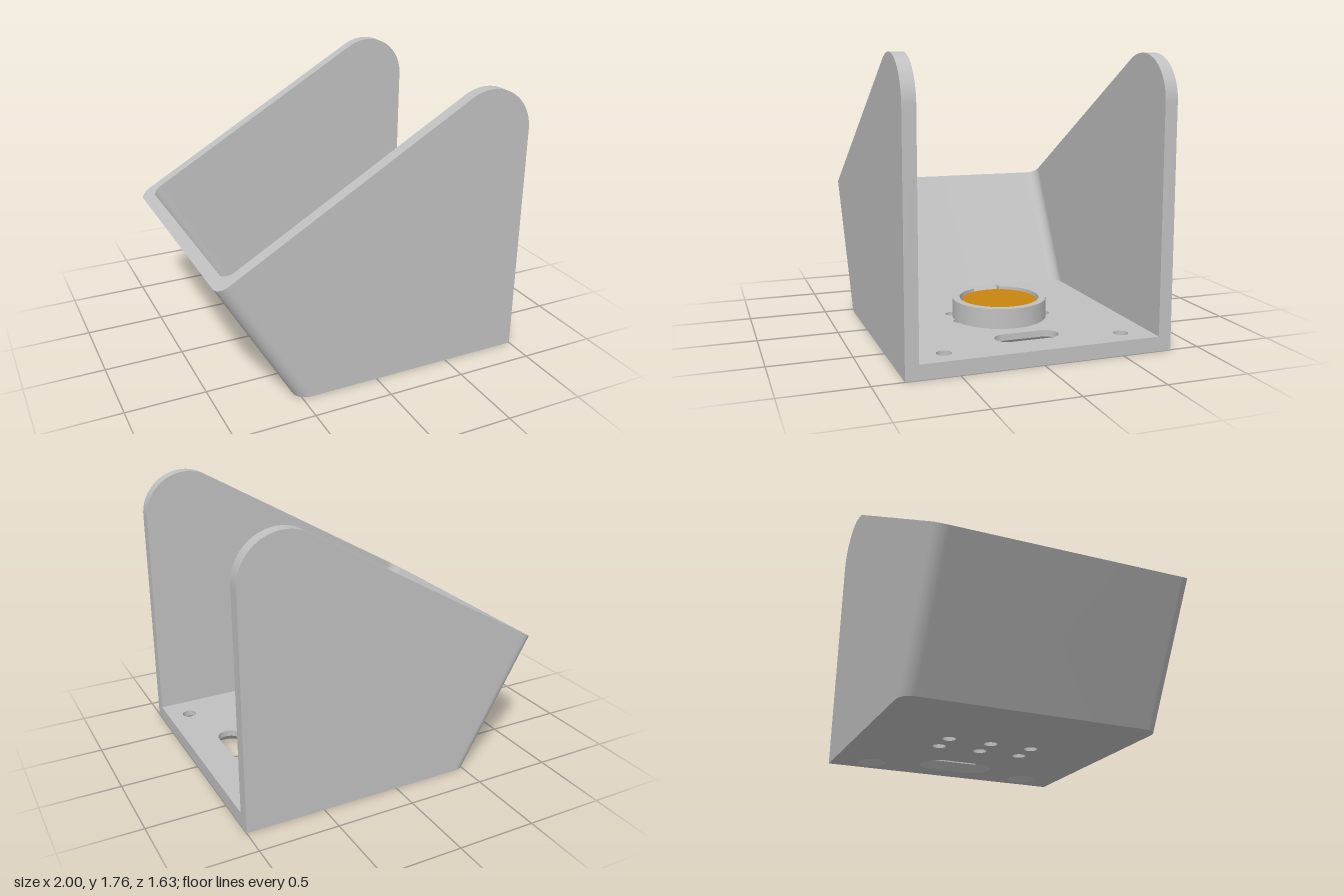
import * as THREE from 'three';
import { toCreasedNormals } from 'three/addons/utils/BufferGeometryUtils.js';

const W = 0.815, INNER = 0.735;          // outer and inner half width
const T = 0.078, FLOOR = 0.09;           // front wall and floor thickness
const C = Math.cos(Math.PI / 6), S = 0.5; // the wall leans by 30 degrees
const TOP = { x: -1, y: 0.81 };          // outer top edge of the leaning wall
const JOIN = 0.155;                      // where the rounded wall meets the flat sides

// Point at distance s behind the leaning wall and t along it
const slant = (s, t) => [TOP.x + C * s - S * t, TOP.y + S * s + C * t];
const tAtGround = (s) => -(TOP.y + S * s) / C;

function extrude(shape, depth) {
  return new THREE.ExtrudeGeometry(shape, { depth, bevelEnabled: false, curveSegments: 24 });
}

// Extrude a plan drawn in (x, z) so that it spans y0..y1
function slab(shape, y0, y1) {
  return extrude(shape, y1 - y0).rotateX(Math.PI / 2).translate(0, y1, 0);
}

// Round or elongated hole: two half circles around a core of half length h
function hole({ x, z, h = 0, r }, grow = 0) {
  const p = new THREE.Path(), R = r + grow;
  p.absarc(x, z + h, R, 0, Math.PI, false);
  p.absarc(x, z - h, R, Math.PI, Math.PI * 2, false);
  p.closePath();
  return p;
}

function floorPlan() {
  const s = new THREE.Shape();
  s.moveTo(-0.51, -INNER - 0.005);
  s.lineTo(1, -INNER - 0.005);
  s.lineTo(1, INNER + 0.005);
  s.lineTo(-0.51, INNER + 0.005);
  s.closePath();
  return s;
}

export function createModel() {
  const group = new THREE.Group();
  const grey = new THREE.MeshStandardMaterial({ name: 'grey plastic', color: 0xc0c0c0 });
  const orange = new THREE.MeshStandardMaterial({ name: 'orange', color: 0xc98510 });
  const add = (name, geometry, material = grey) => {
    const mesh = new THREE.Mesh(toCreasedNormals(geometry, 0.5), material);
    mesh.name = name;
    group.add(mesh);
    return mesh;
  };

  // Flat side panels with a rounded upper corner
  const side = new THREE.Shape();
  side.moveTo(...slant(JOIN, tAtGround(JOIN)));
  side.lineTo(1, 0);
  side.lineTo(1, 1.48);
  side.absarc(0.72, 1.48, 0.28, 0, Math.PI * 2 / 3, false);
  side.lineTo(...slant(JOIN, 0));
  side.closePath();
  add('leftSidePanel', extrude(side, W - INNER).translate(0, 0, INNER));
  add('rightSidePanel', extrude(side, W - INNER).translate(0, 0, -W));

  // Leaning wall: U section with rounded corners, cut off level with the ground
  const R = 0.08, r = 0.075, u = new THREE.Shape();
  u.moveTo(JOIN, -W);
  u.lineTo(JOIN, -INNER);
  u.absarc(T + r, -INNER + r, r, -Math.PI / 2, -Math.PI, true);
  u.absarc(T + r, INNER - r, r, Math.PI, Math.PI / 2, true);
  u.lineTo(JOIN, INNER);
  u.lineTo(JOIN, W);
  u.absarc(R, W - R, R, Math.PI / 2, Math.PI, false);
  u.absarc(R, -W + R, R, Math.PI, Math.PI * 1.5, false);
  u.closePath();
  const wall = extrude(u, 1), wp = wall.attributes.position;
  for (let i = 0; i < wp.count; i++) {
    const s = wp.getX(i), z = wp.getY(i), k = wp.getZ(i);
    wp.setXYZ(i, ...slant(s, k * tAtGround(s)), z);
  }
  add('leaningWall', wall);

  // Floor holes: countersunk screw holes and slot, plus six plain pin holes
  const sunk = [
    { x: 0.86, z: -0.555, r: 0.045 },
    { x: 0.86, z: 0.555, r: 0.045 },
    { x: 0.727, z: 0, h: 0.125, r: 0.075 },
  ];
  const pins = [];
  for (const x of [0.13, 0.305]) for (const z of [-0.28, 0, 0.28]) pins.push({ x, z, r: 0.043 });

  const MID = 0.05, GROW = 0.05;
  const upper = floorPlan();
  upper.holes = [...sunk, ...pins].map((o) => hole(o));
  add('floorUpper', slab(upper, MID, FLOOR));

  // Lower layer: the sunk holes narrow towards the upper layer
  const lower = floorPlan();
  lower.holes = [...sunk.map((o) => hole(o, GROW)), ...pins.map((o) => hole(o))];
  const low = slab(lower, 0, MID), lp = low.attributes.position;
  for (let i = 0; i < lp.count; i++) {
    if (lp.getY(i) < MID / 2) continue;
    for (const { x, z, h = 0, r: rad } of sunk) {
      const cz = THREE.MathUtils.clamp(lp.getZ(i), z - h, z + h);
      const dx = lp.getX(i) - x, dz = lp.getZ(i) - cz, d = Math.hypot(dx, dz);
      if (d > rad + GROW + 0.002) continue;
      lp.setX(i, x + dx * rad / d);
      lp.setZ(i, cz + dz * rad / d);
    }
  }
  add('floorLower', low);

  // Split ring holder, open towards the leaning wall
  const cx = 0.262, cz = 0.005, ro = 0.3, ri = 0.253, gap = 0.088;
  const ao = Math.PI - Math.asin(gap / ro), ai = Math.PI - Math.asin(gap / ri);
  const ring = new THREE.Shape();
  ring.absarc(cx, cz, ro, -ao, ao, false);
  ring.absarc(cx, cz, ri, ai, -ai, true);
  ring.closePath();
  add('ringHolder', slab(ring, FLOOR, 0.215));

  // Round disc inside the holder
  add('disc', new THREE.CylinderGeometry(0.236, 0.236, 0.11, 64).translate(cx, FLOOR + 0.055, cz), orange);

  return group;
}
